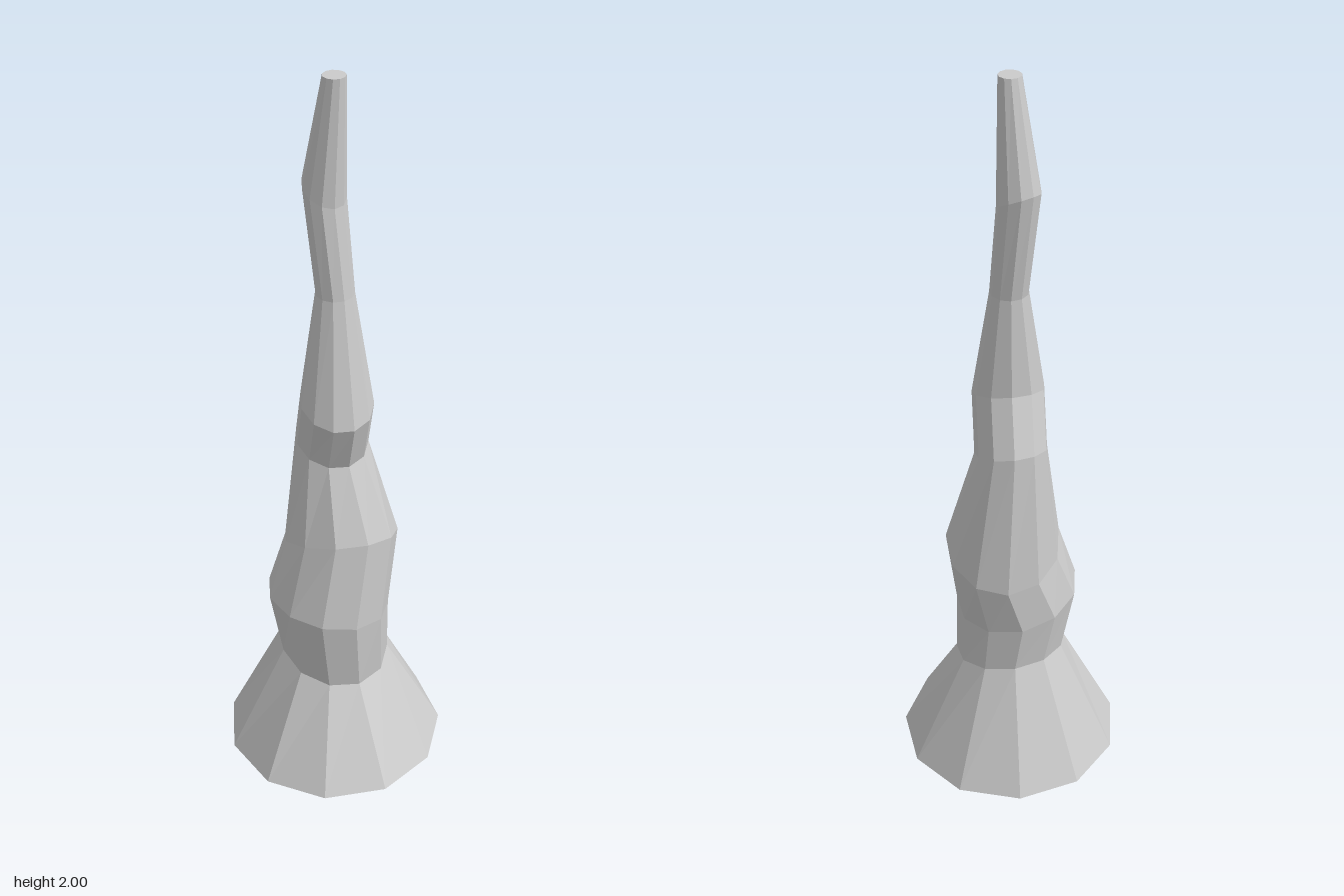
import * as THREE from 'three';

const SIDES = 11;

// Cross-sections from bottom to top: centre x, y, z, radius, slope of the ring along x and z
const RINGS = [
  [0, 0, 0.006, 0.306, 0, 0],
  [0, 0.31, 0.005, 0.15, 0.03, -0.26],
  [-0.022, 0.495, 0.003, 0.166, -0.21, -0.05],
  [0.022, 0.69, 0.007, 0.154, -0.25, 0.37],
  [0.014, 0.995, -0.018, 0.095, 0.12, -0.32],
  [-0.015, 1.145, 0.03, 0.094, 0.16, -0.32],
  [0, 1.445, 0.007, 0.049, 0, 0],
  [0, 1.705, -0.03, 0.054, 0, -0.5],
  [0, 2, 0.004, 0.028, 0, 0],
];

// Corner i of a tilted ring, starting at the back
function corner([cx, cy, cz, r, sx, sz], i) {
  const a = (i / SIDES) * Math.PI * 2;
  const dx = Math.sin(a) * r;
  const dz = -Math.cos(a) * r;
  return [cx + dx, cy + dx * sx + dz * sz, cz + dz];
}

function createSpireGeometry() {
  const pos = [];
  const tri = (a, b, c) => pos.push(...a, ...b, ...c);
  const first = RINGS[0];
  const last = RINGS[RINGS.length - 1];

  for (let i = 0; i < SIDES; i++) {
    // Side walls between neighbouring rings
    for (let k = 0; k < RINGS.length - 1; k++) {
      const a = corner(RINGS[k], i);
      const b = corner(RINGS[k], i + 1);
      const c = corner(RINGS[k + 1], i + 1);
      const d = corner(RINGS[k + 1], i);
      tri(a, d, b);
      tri(d, c, b);
    }
    // Bottom and top caps
    tri(first.slice(0, 3), corner(first, i), corner(first, i + 1));
    tri(last.slice(0, 3), corner(last, i + 1), corner(last, i));
  }

  const geometry = new THREE.BufferGeometry();
  geometry.setAttribute('position', new THREE.Float32BufferAttribute(pos, 3));
  geometry.computeVertexNormals();
  return geometry;
}

export function createModel() {
  const group = new THREE.Group();
  group.name = 'crookedSpire';
  const material = new THREE.MeshStandardMaterial({ color: 0xcccccc, flatShading: true });

  // Crooked tapering spire with a flared foot
  const spire = new THREE.Mesh(createSpireGeometry(), material);
  spire.name = 'spire';
  group.add(spire);
  return group;
}
